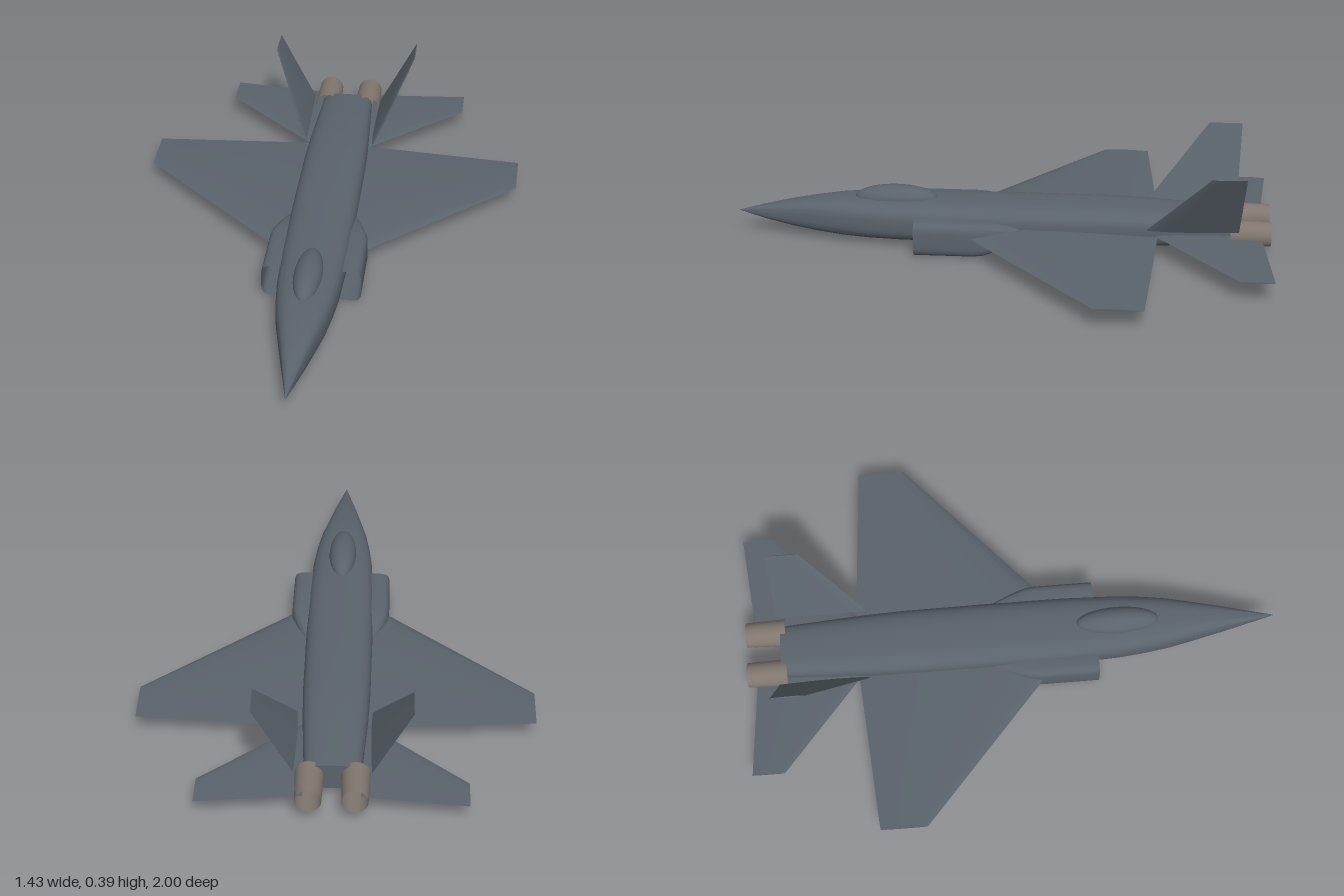
import * as THREE from 'three';
import { toCreasedNormals } from 'three/addons/utils/BufferGeometryUtils.js';

// Skin a list of closed rings of [x, y, z]; caps fill the first / last ring
function loft(rings, capStart = true, capEnd = true, crease = 0.7) {
  const n = rings[0].length, pos = rings.flat(), idx = [];
  for (let i = 0; i < rings.length - 1; i++) {
    for (let j = 0; j < n; j++) {
      const a = i * n + j, b = i * n + (j + 1) % n;
      idx.push([a, b, a + n], [b, b + n, a + n]);
    }
  }
  const cap = (start, flip) => {
    for (let j = 1; j < n - 1; j++) {
      idx.push(flip ? [start, start + j + 1, start + j] : [start, start + j, start + j + 1]);
    }
  };
  if (capStart) cap(0, true);
  if (capEnd) cap((rings.length - 1) * n, false);

  // Turn all faces outward, so mirrored rings work too
  const v = pos.map(p => new THREE.Vector3(...p));
  const mid = v.reduce((s, p) => s.add(p), new THREE.Vector3()).divideScalar(v.length);
  v.forEach(p => p.sub(mid));
  const volume = idx.reduce((s, [a, b, c]) => s + v[a].dot(v[b].clone().cross(v[c])), 0);
  if (volume < 0) idx.forEach(t => t.reverse());

  const geo = new THREE.BufferGeometry();
  geo.setAttribute('position', new THREE.Float32BufferAttribute(pos.flat(), 3));
  geo.setIndex(idx.flat());
  return toCreasedNormals(geo, crease);
}

// Rounded-square ring across z
function bodyRing(z, cx, halfW, bottom, top, power = 3, n = 48) {
  const soft = c => Math.sign(c) * Math.abs(c) ** (2 / power);
  return Array.from({ length: n }, (_, i) => {
    const a = (i / n) * Math.PI * 2;
    return [
      cx + halfW * soft(Math.cos(a)),
      (top + bottom) / 2 + (top - bottom) / 2 * soft(Math.sin(a)),
      z,
    ];
  });
}

// Thin aerofoil ring from leading to trailing edge; (nx, ny) is the thickness direction
function foilRing(x, y, zLead, zTrail, thick, nx = 0, ny = 1, n = 24) {
  return Array.from({ length: n }, (_, i) => {
    const a = (i / n) * Math.PI * 2;
    const t = (1 - Math.cos(a)) / 2;
    const h = Math.sign(Math.sin(a)) * thick * 1.3 * Math.sqrt(t) * (1 - t);
    return [x + nx * h, y + ny * h, zLead + (zTrail - zLead) * t];
  });
}

export function createModel() {
  const model = new THREE.Group();
  model.name = 'jetAircraft';

  const material = (name, color, side = THREE.FrontSide) => {
    const m = new THREE.MeshStandardMaterial({ color, side });
    m.name = name;
    return m;
  };
  const grey = material('airframeGrey', 0x5a626b, THREE.DoubleSide);
  const metal = material('nozzleMetal', 0x80766e, THREE.DoubleSide);

  const add = (name, geo, mat) => {
    const mesh = new THREE.Mesh(geo, mat);
    mesh.name = name;
    model.add(mesh);
    return mesh;
  };

  // Fuselage: z, half width, bottom, top
  const body = [
    [1, 0.001, 0.094, 0.096], [0.9, 0.023, 0.067, 0.121], [0.8, 0.046, 0.047, 0.142],
    [0.7, 0.068, 0.033, 0.157], [0.6, 0.09, 0.024, 0.168], [0.5, 0.105, 0.02, 0.172],
    [0.4, 0.115, 0.019, 0.173], [0.2, 0.123, 0.019, 0.173], [-0.1, 0.124, 0.019, 0.173],
    [-0.4, 0.122, 0.019, 0.173], [-0.55, 0.117, 0.024, 0.169], [-0.7, 0.109, 0.034, 0.158],
    [-0.87, 0.099, 0.046, 0.145],
  ];
  add('fuselage', loft(body.map(([z, w, b, t]) => bodyRing(z, 0, w, b, t))), grey);

  // Canopy
  const canopy = add('canopy', new THREE.SphereGeometry(1, 40, 24), grey);
  canopy.scale.set(0.052, 0.05, 0.155);
  canopy.position.set(0, 0.166, 0.4);

  for (const s of [1, -1]) {
    const side = s > 0 ? 'left' : 'right';

    // Open-fronted air intake, fairing into the body: z, centre x, half width, bottom, top
    const intake = [
      [0.32, 0.135, 0.05, 0.005, 0.135], [0.1, 0.135, 0.05, 0.005, 0.135],
      [0.06, 0.13, 0.05, 0.008, 0.133], [0.01, 0.117, 0.046, 0.022, 0.125],
      [-0.05, 0.098, 0.04, 0.045, 0.112], [-0.11, 0.08, 0.03, 0.075, 0.095],
    ];
    add(side + 'Intake', loft(
      intake.map(([z, x, w, b, t]) => bodyRing(z, s * x, w, b, t, 4, 40)), false, true), grey);

    // Main wing
    add(side + 'Wing', loft([
      foilRing(s * 0.08, 0.085, 0.2, -0.585, 0.038),
      foilRing(s * 0.715, 0.084, -0.365, -0.54, 0.008),
    ]), grey);

    // Horizontal stabilizer
    add(side + 'Stabilizer', loft([
      foilRing(s * 0.1, 0.088, -0.56, -0.965, 0.016),
      foilRing(s * 0.47, 0.085, -0.88, -1, 0.005),
    ]), grey);

    // Outward-canted tail fin
    add(side + 'TailFin', loft([
      foilRing(s * 0.135, 0.122, -0.54, -0.88, 0.012, s * 0.88, -0.47),
      foilRing(s * 0.276, 0.392, -0.77, -0.895, 0.005, s * 0.88, -0.47),
    ]), grey);

    // Hollow exhaust nozzle
    const nozzle = new THREE.CylinderGeometry(0.051, 0.046, 0.15, 32, 1, true);
    nozzle.rotateX(Math.PI / 2);
    add(side + 'Nozzle', nozzle, metal).position.set(s * 0.08, 0.096, -0.925);
  }

  return model;
}
